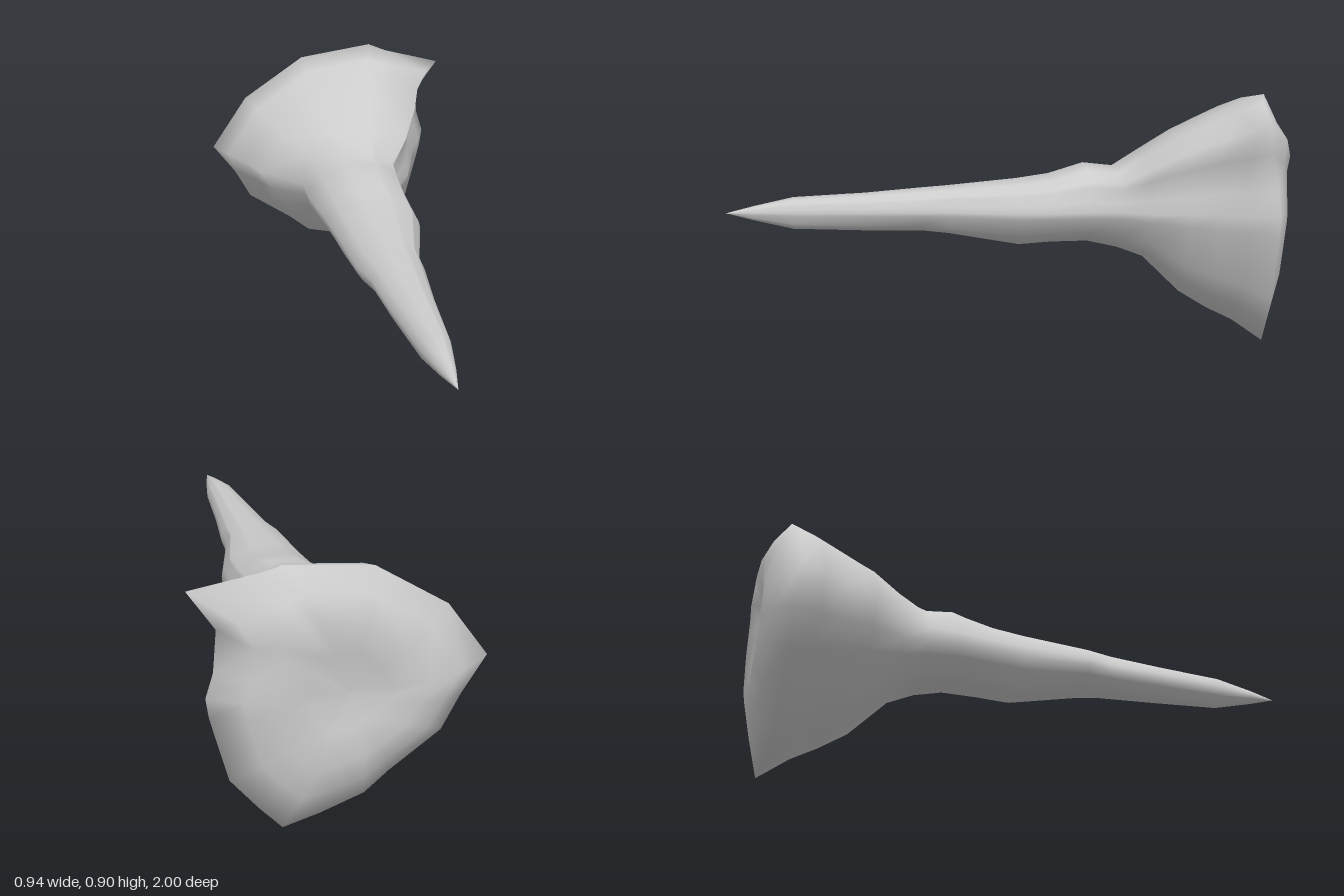
import * as THREE from 'three';

// Irregular outline of the root, clockwise from the top: x, y, forward shift
const CY = 0.47;
const outline = [
  [0.195, 0.897, 0], [0.26, 0.872, 0.02], [0.47, 0.82, 0.06], [0.39, 0.705, 0.02],
  [0.405, 0.575, 0], [0.43, 0.49, 0], [0.42, 0.42, 0], [0.36, 0.19, 0],
  [0.27, 0.08, -0.01], [0.195, 0, -0.02], [0.07, 0.025, -0.01], [-0.08, 0.07, 0],
  [-0.16, 0.14, 0], [-0.33, 0.265, 0], [-0.39, 0.385, 0], [-0.475, 0.51, 0.01],
  [-0.33, 0.71, 0], [-0.09, 0.865, 0],
];

// Cross-sections from tip to root: z, left x, right x, bottom y, top y,
// blend from ellipse (0) to outline (1), weight of the forward shift
const sections = [
  [1.0, 0, 0, 0.47, 0.47, 0, 0],
  [0.9, -0.027, 0.025, 0.443, 0.495, 0, 0],
  [0.76, -0.055, 0.052, 0.41, 0.525, 0, 0],
  [0.5, -0.082, 0.075, 0.40, 0.537, 0, 0],
  [0.3, -0.097, 0.10, 0.397, 0.553, 0, 0],
  [0.2, -0.125, 0.107, 0.385, 0.56, 0.1, 0],
  [-0.05, -0.14, 0.182, 0.342, 0.583, 0.15, 0],
  [-0.17, -0.15, 0.185, 0.35, 0.6, 0.15, 0],
  [-0.3, -0.168, 0.186, 0.352, 0.64, 0.2, 0],
  [-0.41, -0.18, 0.2, 0.328, 0.628, 0.3, 0],
  [-0.5, -0.18, 0.27, 0.3, 0.69, 0.6, 0],
  [-0.63, -0.325, 0.33, 0.175, 0.77, 0.85, 0],
  [-0.73, -0.37, 0.365, 0.115, 0.82, 0.9, 0],
  [-0.82, -0.425, 0.425, 0.075, 0.863, 0.95, 0],
  [-0.91, -0.475, 0.47, 0, 0.897, 1, 1],
  [-0.965, -0.37, 0.35, 0.12, 0.82, 0.9, 0.2],
  [-1.0, -0.25, 0.25, 0.235, 0.74, 0.8, 0],
  [-0.975, -0.14, 0.14, 0.35, 0.62, 0.7, 0],
  [-0.97, 0, 0, 0.48, 0.48, 0, 0],
];

function loft() {
  const n = outline.length, pos = [], index = [];
  for (const [z, left, right, bottom, top, blend, shift] of sections) {
    const cy = THREE.MathUtils.clamp(CY, bottom, top);
    for (const [ox, oy, dz] of outline) {
      // outline scaled to unit extents, blended with the unit circle
      const ux = ox / (ox > 0 ? 0.47 : 0.475);
      const uy = (oy - CY) / (oy > CY ? 0.427 : 0.47);
      const len = Math.hypot(ux, uy);
      const x = THREE.MathUtils.lerp(ux / len, ux, blend);
      const y = THREE.MathUtils.lerp(uy / len, uy, blend);
      pos.push(
        x * (x > 0 ? right : -left),
        cy + y * (y > 0 ? top - cy : cy - bottom),
        z + dz * shift,
      );
    }
  }
  for (let i = 0; i < sections.length - 1; i++) {
    for (let j = 0; j < n; j++) {
      const a = i * n + j, b = i * n + (j + 1) % n;
      index.push(a, b, a + n, b, b + n, a + n);
    }
  }
  const geo = new THREE.BufferGeometry();
  geo.setAttribute('position', new THREE.Float32BufferAttribute(pos, 3));
  geo.setIndex(index);
  geo.computeVertexNormals();
  return geo;
}

export function createModel() {
  const group = new THREE.Group();
  group.name = 'rockSpike';
  // spike with its flared root in one continuous skin
  const spike = new THREE.Mesh(loft(), new THREE.MeshStandardMaterial({ color: 0xcccccc }));
  spike.name = 'spikeWithFlaredRoot';
  group.add(spike);
  return group;
}
